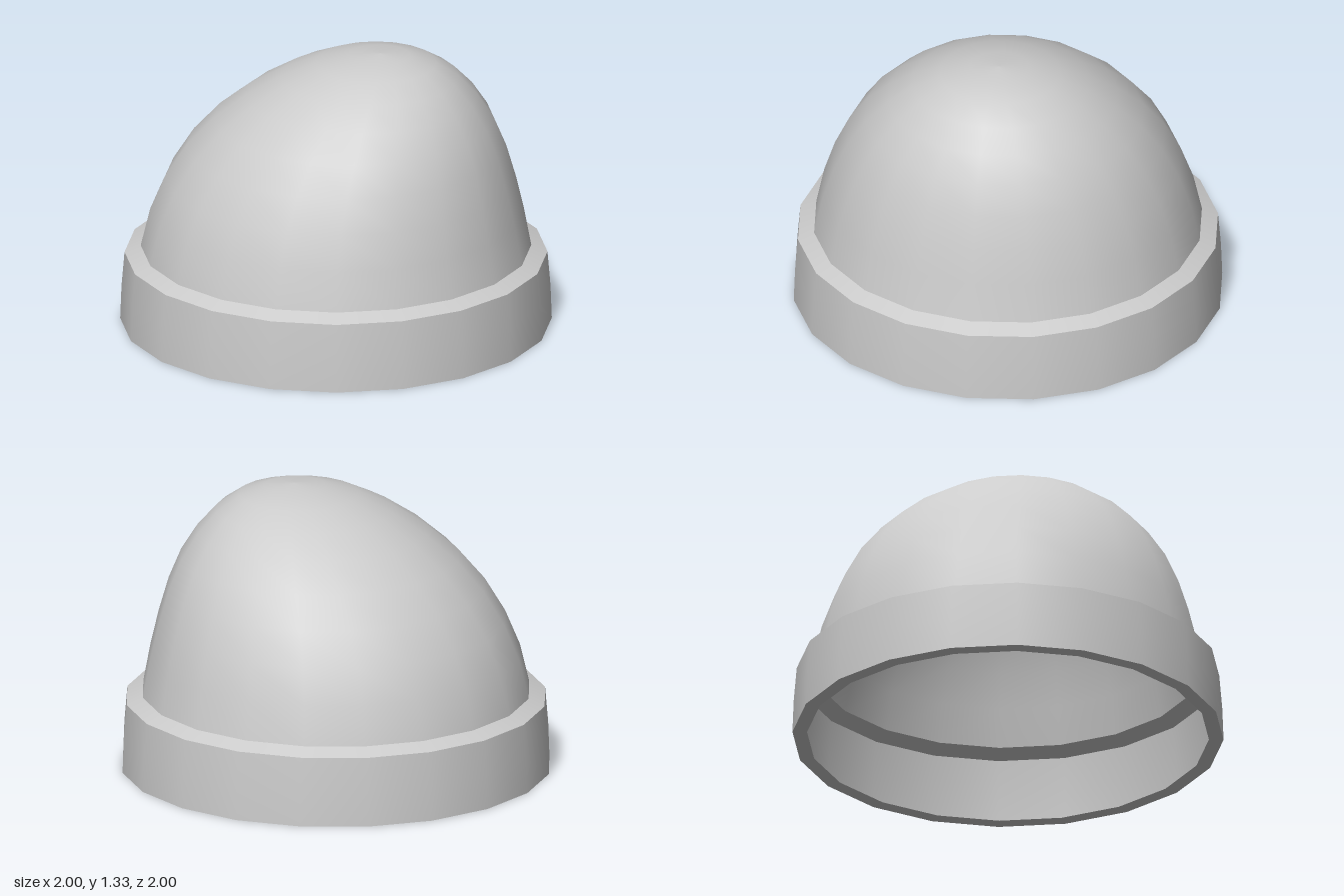
import * as THREE from 'three';

const SIDES = 20;
const LEAN = 0.217; // sideways offset of the dome's summit
const BASE = 0.36, TOP = 1.332;

// Dome profile (radius, height), base to summit
const DOME = [
  [0.905, BASE], [0.866, 0.542], [0.812, 0.705], [0.741, 0.86], [0.649, 1.0],
  [0.537, 1.118], [0.414, 1.214], [0.281, 1.284], [0.141, 1.322], [0, TOP],
];

// Thin open shell, seen from both sides
const material = new THREE.MeshStandardMaterial({ color: 0xcccccc, side: THREE.DoubleSide });

// Revolved strip; profiles running upward face out
function lathe(points) {
  const geometry = new THREE.LatheGeometry(points.map(([r, y]) => new THREE.Vector2(r, y)), SIDES);
  geometry.normalizeNormals();
  return geometry;
}

// Slide each ring towards +x, more strongly near the summit, and tilt normals to suit
function lean(geometry) {
  const p = geometry.attributes.position, n = geometry.attributes.normal;
  const v = new THREE.Vector3();
  for (let i = 0; i < p.count; i++) {
    const h = THREE.MathUtils.clamp((p.getY(i) - BASE) / (TOP - BASE), 0, 1);
    const slope = (LEAN * 2.2 / (TOP - BASE)) * Math.pow(h, 1.2);
    p.setX(i, p.getX(i) + LEAN * Math.pow(h, 2.2));
    v.fromBufferAttribute(n, i);
    v.y -= slope * v.x;
    v.normalize();
    n.setXYZ(i, v.x, v.y, v.z);
  }
  return geometry;
}

export function createModel() {
  const model = new THREE.Group();
  const add = (name, geometry) => {
    const mesh = new THREE.Mesh(geometry, material);
    mesh.name = name;
    model.add(mesh);
  };

  // Leaning dome
  add('dome', lean(lathe(DOME)));

  // Band around the foot: separate strips keep its edges sharp
  add('bandShoulder', lathe([[0.98, 0.327], [0.905, BASE]]));
  add('bandWall', lathe([[1, 0], [0.994, 0.16], [0.98, 0.327]]));
  add('bandBottomLip', lathe([[0.932, 0], [1, 0]]));

  return model;
}
